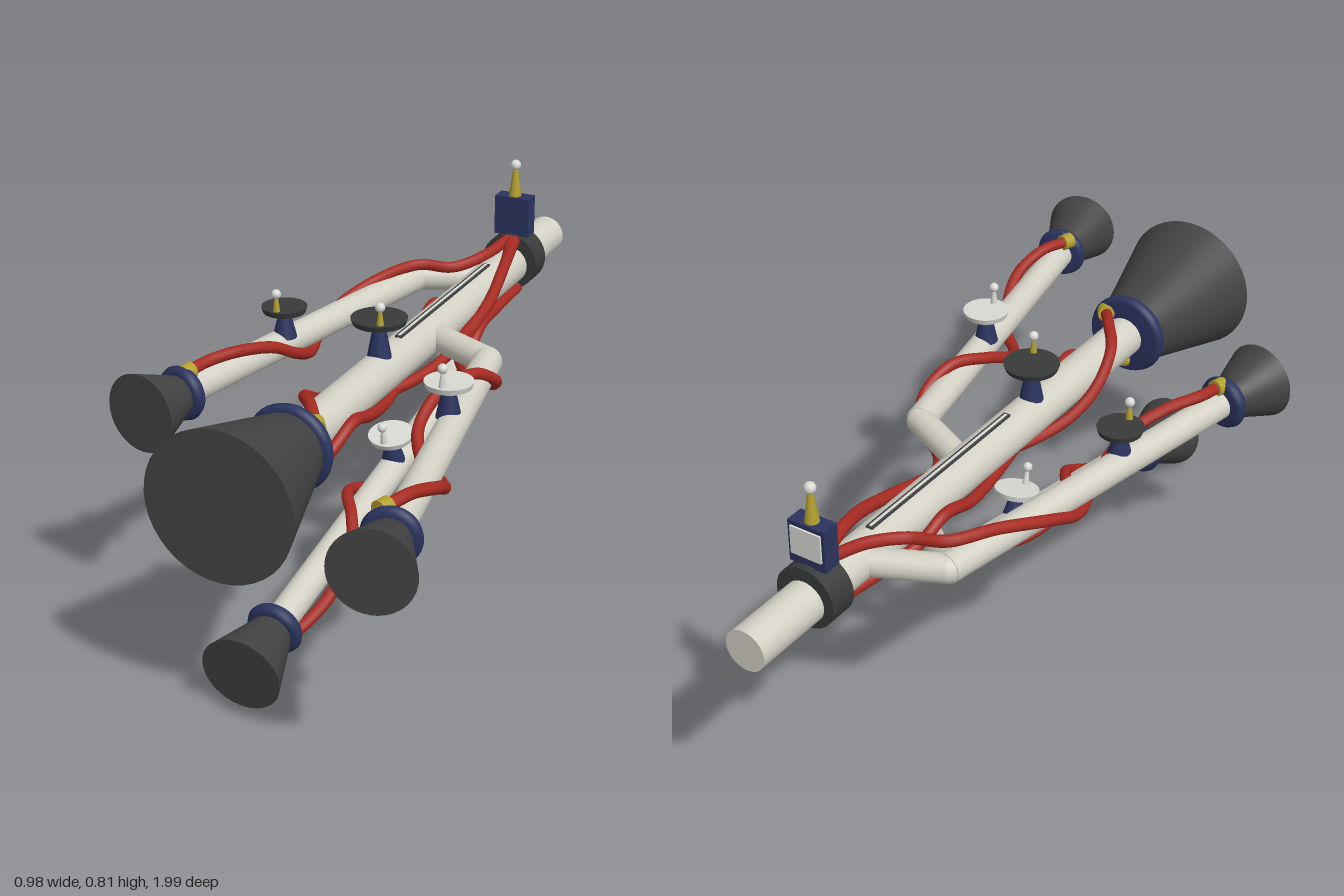
import * as THREE from 'three';

const mat = (name, color, side = THREE.FrontSide) => {
  const m = new THREE.MeshStandardMaterial({ color, side });
  m.name = name;
  return m;
};
const V = (p) => new THREE.Vector3(...p);
const UP = new THREE.Vector3(0, 1, 0);

export function createModel() {
  const model = new THREE.Group();
  const bone = mat('bone', 0xd3d1c5);
  const navy = mat('navy', 0x2a335e);
  const dark = mat('charcoal', 0x424242);
  const red = mat('cable red', 0xa62b22);
  const yellow = mat('mustard', 0xb3a030);
  const pale = mat('pale grey', 0xd9d9d4);
  const slate = mat('dark dish', 0x383b3a);

  const add = (name, geometry, material, parent = model) => {
    const mesh = new THREE.Mesh(geometry, material);
    mesh.name = name;
    parent.add(mesh);
    return mesh;
  };
  // Tapered rod from point a to point b
  const rod = (name, material, a, b, ra, rb = ra, parent = model, sides = 32) => {
    const p = V(a), d = V(b).sub(p);
    const g = new THREE.CylinderGeometry(rb, ra, d.length(), sides);
    const mesh = add(name, g, material, parent);
    mesh.position.copy(p).addScaledVector(d, 0.5);
    mesh.quaternion.setFromUnitVectors(UP, d.normalize());
    return mesh;
  };
  const ball = (name, material, p, r, parent = model) => {
    const mesh = add(name, new THREE.SphereGeometry(r, 16, 12), material, parent);
    mesh.position.set(...p);
    return mesh;
  };

  // Rounded collar and flared bell at the end of a tube
  const nozzle = (name, start, dir, length, rNeck, rMouth, rRing, thick) => {
    const g = new THREE.Group();
    g.name = name;
    g.position.set(...start);
    g.quaternion.setFromUnitVectors(UP, V(dir).normalize());
    model.add(g);
    rod('bell', dark, [0, 0, 0], [0, length, 0], rNeck, rMouth, g, 40);
    const h = thick / 2, i = rRing - h * 0.7;
    const profile = [[0, -h], [i, -h], [rRing - h * 0.2, -h * 0.55], [rRing, 0],
      [rRing - h * 0.2, h * 0.55], [i, h], [0, h]].map((p) => new THREE.Vector2(...p));
    add('nozzleRing', new THREE.LatheGeometry(profile, 36), navy, g);
  };

  // Pedestal, round dish and small ball-tipped aerial
  const dish = (name, base, r, height, plate, spike, aerial, tilt = 0) => {
    const g = new THREE.Group();
    g.name = name;
    g.position.set(...base);
    g.rotation.x = tilt;
    model.add(g);
    rod('pedestal', navy, [0, -0.01, 0], [0, height, 0], 0.03, 0.013, g, 20);
    rod('dishPlate', plate, [0, height - 0.002, 0], [0, height + 0.012, 0], r * 0.93, r, g);
    const [x, z] = aerial, y = height + 0.012;
    rod('aerial', spike, [x, y, z], [x, y + 0.036, z], 0.009, 0.004, g, 12);
    ball('aerialTip', pale, [x, y + 0.044, z], 0.012, g);
  };

  // Main hull tube with its bell
  const cx = -0.004, cy = 0.55;
  rod('mainTube', bone, [cx, cy, -1], [cx, cy, 0.55], 0.051);
  nozzle('mainNozzle', [cx, cy, 0.54], [0, 0, 1], 0.32, 0.085, 0.177, 0.105, 0.036);

  // Slotted rail along the top
  add('topRail', new THREE.BoxGeometry(0.018, 0.012, 0.55), dark).position.set(cx, 0.599, -0.295);
  add('railStrip', new THREE.BoxGeometry(0.007, 0.006, 0.54), pale).position.set(cx, 0.603, -0.295);

  // Rear clamp, equipment box and mast
  rod('clamp', slate, [cx, 0.558, -0.8], [cx, 0.558, -0.728], 0.076);
  add('equipmentBox', new THREE.BoxGeometry(0.096, 0.105, 0.046), navy).position.set(cx, 0.683, -0.76);
  add('boxPanel', new THREE.BoxGeometry(0.08, 0.07, 0.006), pale).position.set(cx, 0.69, -0.785);
  rod('mast', yellow, [cx, 0.735, -0.76], [cx, 0.812, -0.76], 0.017, 0.006, model, 16);
  ball('mastTip', pale, [cx, 0.82, -0.76], 0.014);

  // Angled branches: root, elbow, end of tube, centre of bell mouth
  const branches = [
    ['rightBranch', [0, cy, -0.63], [-0.19, cy, -0.54], [-0.368, cy, 0.385], [-0.416, cy, 0.518]],
    ['leftBranch', [0, cy, -0.19], [0.2, cy, -0.09], [0.372, cy, 0.82], [0.411, cy, 0.972]],
    ['lowerBranch', [cx, 0.53, -0.39], [cx, 0.325, -0.29], [cx, 0.144, 0.632], [cx, 0.102, 0.788]],
  ];
  for (const [name, root, elbow, end, mouth] of branches) {
    rod(name + 'Strut', bone, root, elbow, 0.034);
    ball(name + 'Elbow', bone, elbow, 0.0345);
    rod(name + 'Tube', bone, elbow, end, 0.036);
    const dir = V(mouth).sub(V(end));
    const axis = V(end).sub(V(elbow)).normalize();
    nozzle(name + 'Nozzle', end, axis.toArray(), dir.length(), 0.043, 0.095, 0.067, 0.036);
  }

  // Dishes
  dish('mainDish', [cx, 0.6, 0.085], 0.068, 0.08, slate, yellow, [0.024, 0.045]);
  dish('rightDish', [-0.29, 0.58, 0.02], 0.056, 0.058, slate, yellow, [0, 0.04]);
  dish('leftDish', [0.262, 0.58, 0.285], 0.057, 0.066, pale, pale, [0.002, 0.04]);
  dish('lowerDish', [cx, 0.295, 0.008], 0.056, 0.06, pale, pale, [0, 0.04], 0.2);

  // Cables winding round the tubes, each ending in a fitting
  const cables = {
    mainUpperCable: [[0, 0.62, -0.73], [0.045, 0.605, -0.57], [0.068, 0.56, -0.4], [0.06, 0.51, -0.2],
      [0.03, 0.488, -0.05], [-0.02, 0.485, 0.08], [-0.06, 0.51, 0.18], [-0.072, 0.55, 0.28],
      [-0.05, 0.6, 0.38], [0, 0.618, 0.45], [0.05, 0.605, 0.52]],
    mainLowerCable: [[0, 0.488, -0.73], [-0.02, 0.485, -0.6], [-0.06, 0.515, -0.46], [-0.071, 0.55, -0.38],
      [-0.058, 0.51, -0.25], [-0.02, 0.485, -0.08], [0.02, 0.485, 0.1], [0.055, 0.525, 0.27],
      [0.062, 0.55, 0.36], [0.04, 0.5, 0.46], [0, 0.484, 0.52]],
    leftCable: [[0.01, 0.62, -0.73], [0.05, 0.605, -0.55], [0.07, 0.56, -0.4], [0.07, 0.52, -0.22],
      [0.13, 0.498, -0.12], [0.22, 0.505, -0.06], [0.261, 0.55, 0.01], [0.24, 0.597, 0.1],
      [0.2, 0.58, 0.2], [0.195, 0.535, 0.3], [0.24, 0.5, 0.38], [0.31, 0.5, 0.45],
      [0.36, 0.525, 0.53], [0.385, 0.57, 0.62], [0.37, 0.6, 0.72], [0.345, 0.598, 0.8]],
    rightCable: [[-0.01, 0.62, -0.73], [-0.035, 0.605, -0.62], [-0.09, 0.592, -0.54], [-0.17, 0.597, -0.51],
      [-0.23, 0.588, -0.4], [-0.285, 0.55, -0.26], [-0.29, 0.51, -0.16], [-0.262, 0.505, -0.06],
      [-0.25, 0.54, 0.04], [-0.27, 0.582, 0.12], [-0.31, 0.602, 0.22], [-0.345, 0.602, 0.3],
      [-0.36, 0.598, 0.37]],
    lowerCable: [[0.02, 0.488, -0.73], [0.03, 0.49, -0.55], [0.055, 0.5, -0.38], [0.05, 0.42, -0.29],
      [0.047, 0.33, -0.22], [0.035, 0.255, -0.13], [0, 0.232, -0.05], [-0.04, 0.23, 0.05],
      [-0.056, 0.25, 0.12], [-0.035, 0.274, 0.2], [0.01, 0.262, 0.27], [0.044, 0.22, 0.34],
      [0.052, 0.175, 0.42], [0.042, 0.138, 0.5], [0.02, 0.112, 0.57], [0, 0.1, 0.62]],
  };
  for (const [name, points] of Object.entries(cables)) {
    const curve = new THREE.CatmullRomCurve3(points.map(V));
    add(name, new THREE.TubeGeometry(curve, 120, 0.0145, 10), red);
    const end = curve.getPoint(1), d = curve.getTangent(1);
    rod(name + 'Fitting', yellow, end.clone().addScaledVector(d, -0.015).toArray(),
      end.clone().addScaledVector(d, 0.015).toArray(), 0.021, 0.021, model, 16);
  }
  return model;
}
